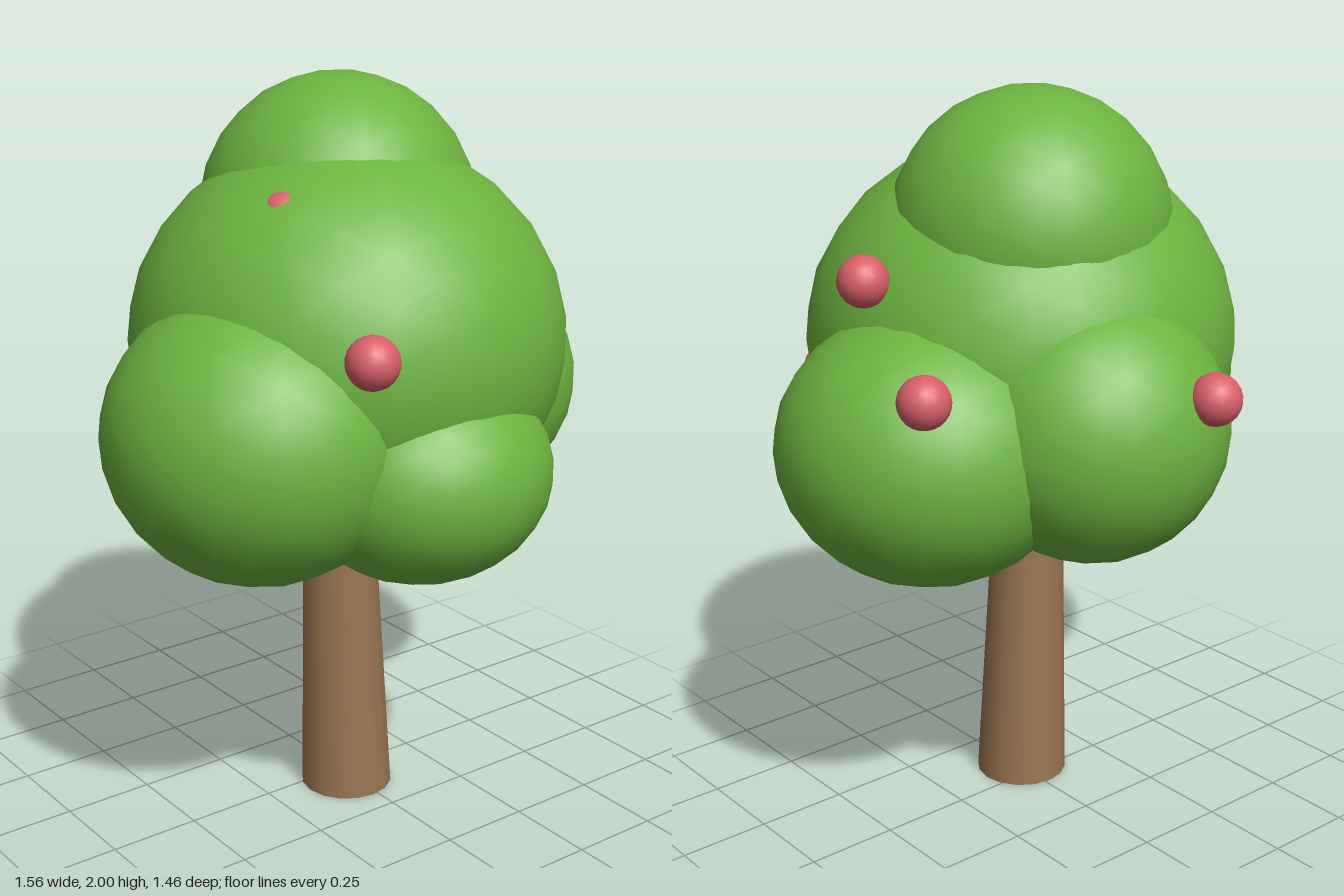
import * as THREE from 'three';

const leafGreen = new THREE.MeshStandardMaterial({ name: 'leafGreen', color: 0x6db33f });
const barkBrown = new THREE.MeshStandardMaterial({ name: 'barkBrown', color: 0x9b7653 });
const fruitRed = new THREE.MeshStandardMaterial({ name: 'fruitRed', color: 0xd95f69 });

// smooth-shaded ellipsoid with a faceted outline
function blob(name, material, center, radii, detail) {
  const mesh = new THREE.Mesh(new THREE.IcosahedronGeometry(1, detail), material);
  mesh.name = name;
  mesh.position.set(...center);
  mesh.scale.set(...radii);
  return mesh;
}

export function createModel() {
  const tree = new THREE.Group();
  tree.name = 'fruitTree';

  // tapered trunk, leaning slightly to one side as it rises into the crown
  const height = 1.0;
  const trunkShape = new THREE.CylinderGeometry(0.092, 0.128, height, 16);
  trunkShape.translate(0, height / 2, 0);
  const p = trunkShape.attributes.position;
  for (let i = 0; i < p.count; i++) p.setX(i, p.getX(i) - 0.032 * p.getY(i));
  const trunk = new THREE.Mesh(trunkShape, barkBrown);
  trunk.name = 'trunk';
  trunk.position.set(-0.015, 0, 0.054);
  tree.add(trunk);

  // overlapping foliage masses
  const crown = new THREE.Group();
  crown.name = 'crown';
  const masses = [
    ['mainFoliage', [-0.02, 1.32, 0.06], [0.575, 0.535, 0.585]],
    ['topFoliage', [0.03, 1.63, -0.045], [0.37, 0.37, 0.37]],
    ['rightFoliage', [-0.38, 1.14, 0.17], [0.4, 0.38, 0.41]],
    ['leftFoliage', [0.385, 1.115, -0.06], [0.397, 0.36, 0.4]],
    ['frontFoliage', [-0.035, 1.04, 0.385], [0.345, 0.29, 0.345]],
    ['backFoliage', [0.065, 1.17, -0.33], [0.355, 0.355, 0.355]],
  ];
  for (const [name, center, radii] of masses) crown.add(blob(name, leafGreen, center, radii, 4));
  tree.add(crown);

  // fruit, the last two almost buried in the leaves
  const fruits = new THREE.Group();
  fruits.name = 'fruits';
  const spots = [
    [-0.325, 1.41, 0.565],
    [0.525, 1.555, 0.01],
    [0.59, 1.335, -0.32],
    [-0.035, 1.3, -0.665],
    [-0.304, 1.692, 0.192],
    [0.432, 1.247, 0.318],
  ];
  spots.forEach((c, i) => fruits.add(blob(`fruit${i + 1}`, fruitRed, c, [0.067, 0.067, 0.067], 3)));
  tree.add(fruits);

  return tree;
}
